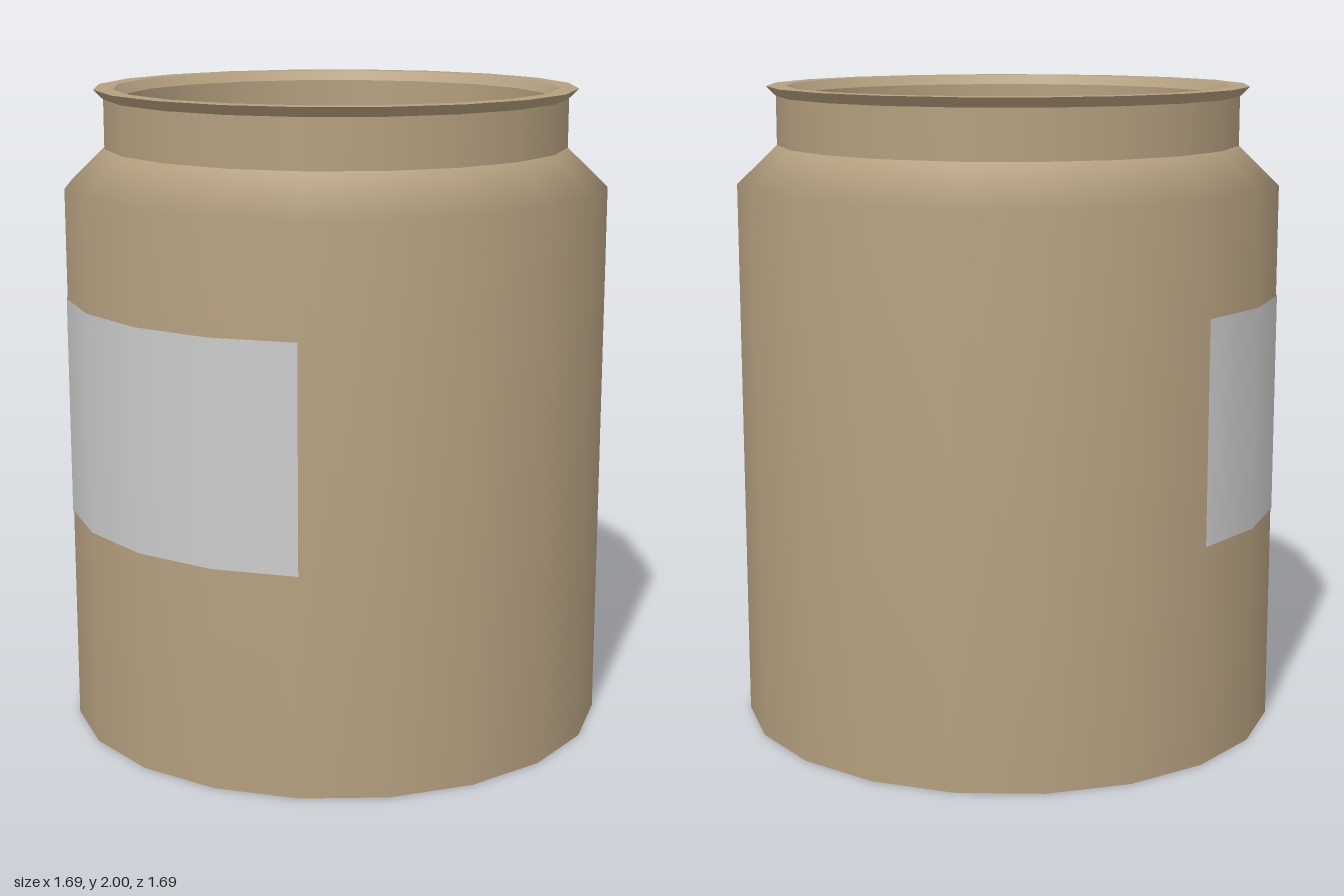
import * as THREE from 'three';

const SIDES = 20;
const STEP = (Math.PI * 2) / SIDES;

export function createModel() {
  const jar = new THREE.Group();
  jar.name = 'jar';
  const clay = new THREE.MeshStandardMaterial({ color: 0xb49f7f });
  const paper = new THREE.MeshStandardMaterial({ color: 0xcccccc, side: THREE.DoubleSide });

  // Turns a profile of [radius, height] pairs; each band is smooth in itself,
  // so the joints between bands stay sharp.
  function turn(name, profile, material, first = 0, sides = SIDES) {
    const points = profile.map(([r, y]) => new THREE.Vector2(r, y));
    const geometry = new THREE.LatheGeometry(points, sides, first * STEP, sides * STEP);
    const mesh = new THREE.Mesh(geometry, material);
    mesh.name = name;
    jar.add(mesh);
  }

  // Outside, from the base up to the rim
  turn('base', [[0, 0], [0.845, 0]], clay);
  turn('bodyAndShoulder', [[0.845, 0], [0.845, 1.7], [0.72, 1.82]], clay);
  turn('neck', [[0.72, 1.82], [0.72, 1.97]], clay);
  turn('lip', [[0.72, 1.97], [0.75, 2]], clay);
  turn('rim', [[0.75, 2], [0.69, 2]], clay);

  // Inside, from the rim down to the floor
  turn('innerLip', [[0.69, 2], [0.665, 1.97]], clay);
  turn('innerNeck', [[0.665, 1.97], [0.665, 1.82]], clay);
  turn('innerWall', [[0.665, 1.82], [0.79, 1.68], [0.79, 0.05]], clay);
  turn('floor', [[0.79, 0.05], [0, 0.05]], clay);

  // Blank label wrapped round seven facets of the model's right side
  turn('label', [[0.848, 0.68], [0.848, 1.36]], paper, -9, 7);

  return jar;
}
